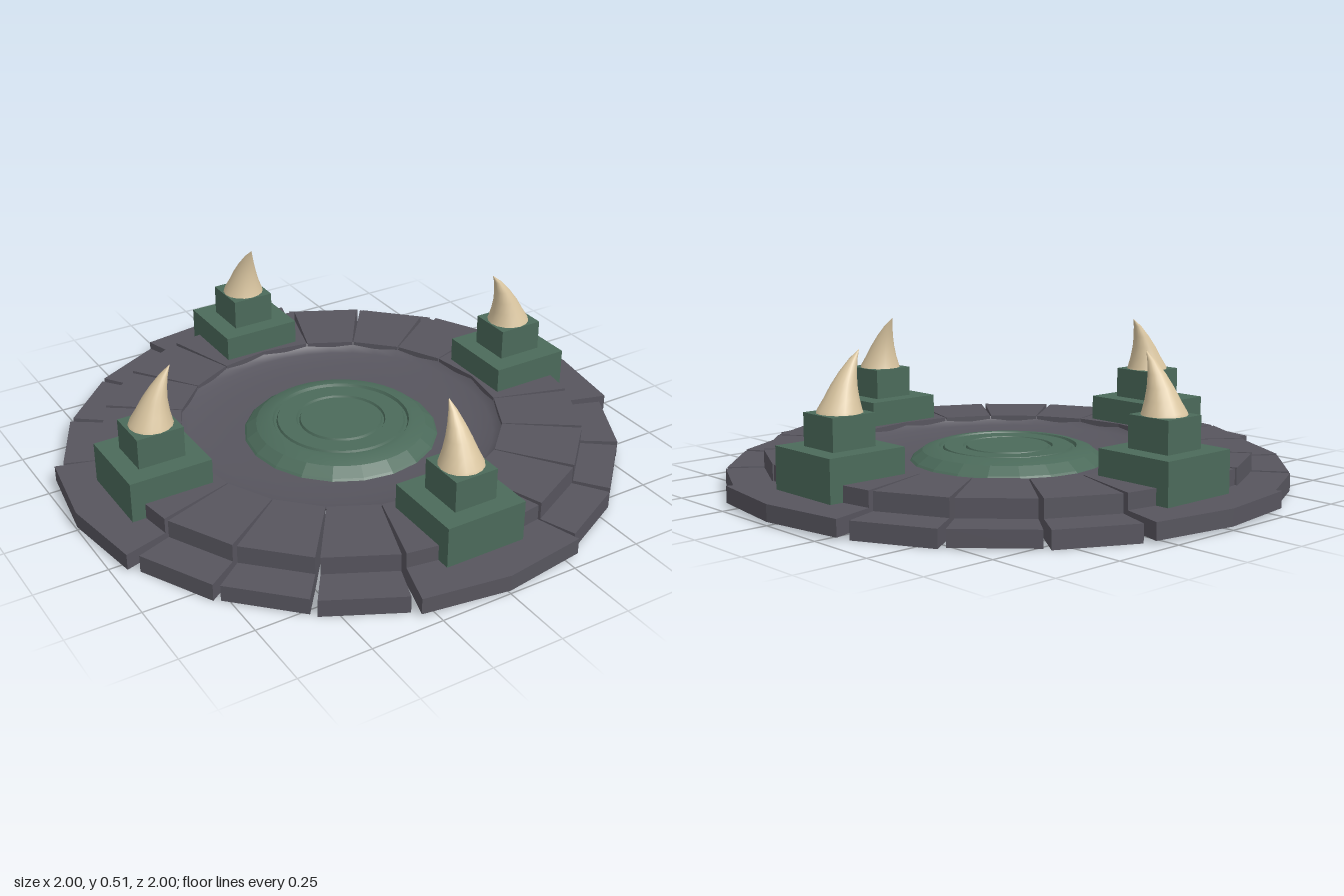
import * as THREE from 'three';
import { toCreasedNormals } from 'three/addons/utils/BufferGeometryUtils.js';

const DEG = Math.PI / 180;

export function createModel() {
  const model = new THREE.Group();
  const mat = (name, color) => new THREE.MeshStandardMaterial({ name, color, side: THREE.DoubleSide });
  const stone = mat('stone', 0x57555e);
  const green = mat('green stone', 0x4b6a5a);
  const ivory = mat('ivory', 0xd9c5a0);

  const add = (parent, name, geometry, material) => {
    const mesh = new THREE.Mesh(geometry, material);
    mesh.name = name;
    parent.add(mesh);
    return mesh;
  };

  // Wedge block between two angles; the joint widens slightly outwards
  function wedge(a0, a1, r0, r1, y0, y1, steps) {
    const shape = new THREE.Shape();
    const gap = r => (0.2 + 1.2 * (r - 0.56)) * DEG;
    const pts = [];
    for (const [r, flip] of [[r1, false], [r0, true]]) {
      for (let i = 0; i <= steps; i++) {
        const t = (flip ? steps - i : i) / steps;
        const a = THREE.MathUtils.lerp(a0 * DEG + gap(r), a1 * DEG - gap(r), t);
        pts.push(new THREE.Vector2(r * Math.cos(a), r * Math.sin(a)));
      }
    }
    shape.setFromPoints(pts);
    const g = new THREE.ExtrudeGeometry(shape, { depth: y1 - y0, bevelEnabled: false });
    g.rotateX(-Math.PI / 2);
    g.translate(0, y0, 0);
    return g;
  }

  // Stepped paving ring: one wide slab and three narrow ones per quarter
  const slabs = [[-18, 18, 2, 1.0, 0.012, 0.068], [18, 36, 1, 0.97, 0, 0.06],
    [36, 54, 1, 0.965, 0.004, 0.06], [54, 72, 1, 0.97, 0, 0.06]];
  for (let q = 0; q < 4; q++) {
    for (const [a0, a1, steps, rOut, y0, yStep] of slabs) {
      const slab = new THREE.Group();
      slab.name = steps === 2 ? 'wideSlab' : 'narrowSlab';
      slab.rotation.y = q * Math.PI / 2;
      add(slab, 'upperStep', wedge(a0, a1, 0.565, 0.84, y0, 0.122, steps), stone);
      add(slab, 'lowerStep', wedge(a0, a1, 0.84, rOut, y0, yStep, steps), stone);
      model.add(slab);
    }
  }

  const lathe = (pts, sides) =>
    new THREE.LatheGeometry(pts.map(p => new THREE.Vector2(...p)), sides);

  // Shallow dish floor
  add(model, 'floorDish', lathe([[0.572, 0.118], [0.56, 0.103], [0.535, 0.09], [0.48, 0.079],
    [0.41, 0.072], [0.335, 0.07]], 40), stone);

  // Raised centre disc: faceted rim and grooved top
  const rim = lathe([[0.345, 0.066], [0.335, 0.077], [0.295, 0.106]], 20).toNonIndexed();
  rim.computeVertexNormals();
  add(model, 'discRim', rim, green);
  add(model, 'discTop', toCreasedNormals(lathe([[0.298, 0.105], [0.256, 0.12], [0.24, 0.12],
    [0.235, 0.11], [0.226, 0.11], [0.222, 0.118], [0.157, 0.118], [0.153, 0.11],
    [0.146, 0.11], [0.142, 0.118], [0, 0.118]], 40), 25 * DEG), green);

  // Curved horn built from shrinking rings: [centre offset, height, radius]
  const rings = [[0, 0, 0.077], [0, 0.015, 0.072], [-0.008, 0.05, 0.057], [-0.018, 0.09, 0.043],
    [-0.034, 0.13, 0.029], [-0.056, 0.17, 0.014], [-0.08, 0.2, 0]];
  function hornGeometry() {
    const sides = 16;
    const pos = [], index = [];
    rings.forEach(([dx, y, r], j) => {
      for (let i = 0; i < sides; i++) {
        const a = i / sides * Math.PI * 2;
        pos.push(dx + r * Math.cos(a), y, r * Math.sin(a));
        if (j === rings.length - 1) continue;
        const b = j * sides + i, c = j * sides + (i + 1) % sides;
        index.push(b, b + sides, c, c, b + sides, c + sides);
      }
    });
    const g = new THREE.BufferGeometry();
    g.setAttribute('position', new THREE.Float32BufferAttribute(pos, 3));
    g.setIndex(index);
    g.computeVertexNormals();
    return g;
  }

  // Four stepped pedestals with horns leaning to the centre
  for (let q = 0; q < 4; q++) {
    const pedestal = new THREE.Group();
    pedestal.name = 'pedestal';
    pedestal.rotation.y = q * Math.PI / 2;
    add(pedestal, 'pedestalBase', new THREE.BoxGeometry(0.29, 0.145, 0.29), green).position.set(0.72, 0.1375, 0);
    add(pedestal, 'pedestalTop', new THREE.BoxGeometry(0.165, 0.11, 0.155), green).position.set(0.72, 0.263, 0);
    add(pedestal, 'horn', hornGeometry(), ivory).position.set(0.718, 0.312, 0);
    model.add(pedestal);
  }
  return model;
}
